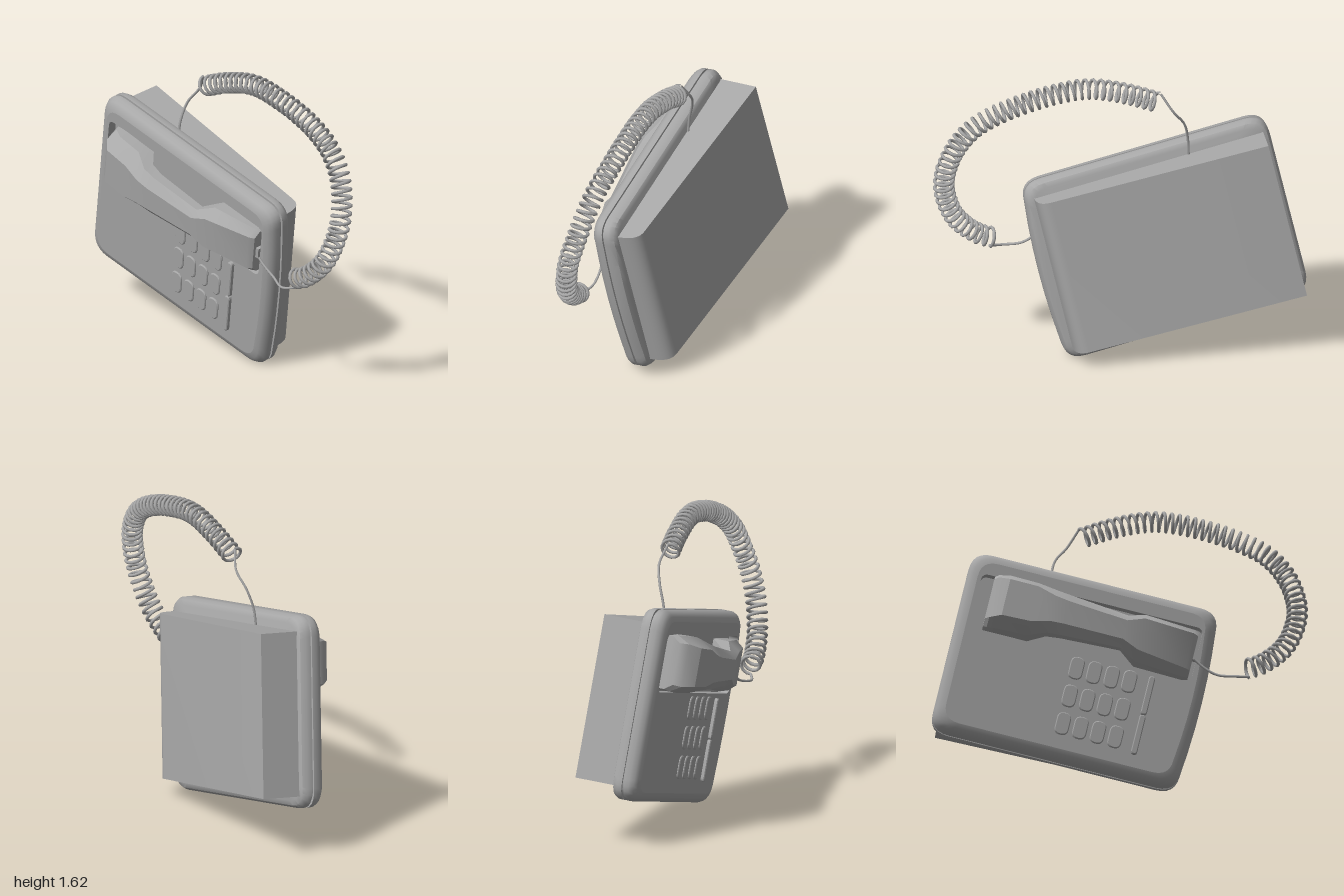
import * as THREE from 'three';
import { toCreasedNormals } from 'three/addons/utils/BufferGeometryUtils.js';

const grey = new THREE.MeshStandardMaterial({ color: 0xa8a8a8 });
grey.name = 'grey plastic';

function part(name, geometry, parent) {
  const mesh = new THREE.Mesh(geometry, grey);
  mesh.name = name;
  parent.add(mesh);
  return mesh;
}

// Skin between equal-length loops, with optional fan caps at either end.
function loft(loops, capStart, capEnd, crease = 0.6) {
  const pos = [];
  const n = loops[0].length;
  const tri = (...pts) => pts.forEach((p) => pos.push(p.x, p.y, p.z));
  for (let k = 0; k + 1 < loops.length; k++) {
    for (let i = 0; i < n; i++) {
      const j = (i + 1) % n, a = loops[k], b = loops[k + 1];
      tri(a[i], a[j], b[j]);
      tri(a[i], b[j], b[i]);
    }
  }
  const cap = (loop, flip) => {
    const c = new THREE.Vector3();
    loop.forEach((p) => c.addScaledVector(p, 1 / n));
    for (let i = 0; i < n; i++) {
      const p = loop[i], q = loop[(i + 1) % n];
      if (flip) tri(c, q, p); else tri(c, p, q);
    }
  };
  if (capStart) cap(loops[0], true);
  if (capEnd) cap(loops[loops.length - 1], false);
  const g = new THREE.BufferGeometry();
  g.setAttribute('position', new THREE.Float32BufferAttribute(pos, 3));
  return toCreasedNormals(g, crease);
}

// Rounded rectangle, counterclockwise, whose right edge can bow outward.
function roundRect(x0, x1, y0, y1, r, bow = 0) {
  const s = new THREE.Shape();
  s.moveTo(x0 + r, y0);
  s.lineTo(x1 - r, y0);
  s.quadraticCurveTo(x1, y0, x1, y0 + r);
  s.quadraticCurveTo(x1 + bow, (y0 + y1) / 2, x1, y1 - r);
  s.quadraticCurveTo(x1, y1, x1 - r, y1);
  s.lineTo(x0 + r, y1);
  s.quadraticCurveTo(x0, y1, x0, y1 - r);
  s.lineTo(x0, y0 + r);
  s.quadraticCurveTo(x0, y0, x0 + r, y0);
  return s;
}

function loopAt(shape, z) {
  const pts = shape.getPoints(6);
  if (pts[0].distanceTo(pts[pts.length - 1]) < 1e-6) pts.pop();
  return pts.map((p) => new THREE.Vector3(p.x, p.y, z));
}

function buildBase(phone) {
  const outline = (d) => roundRect(-0.68 + d, 0.67 - d, -0.515 + d, 0.515 - d, 0.11 - d * 0.3, 0.04);
  // Rim, seam groove and bevelled front edge: [inset, depth]
  const sections = [
    [0.04, -0.068], [0.014, -0.058], [0, -0.032], [0, -0.006], [0.012, -0.006],
    [0.012, 0.006], [0, 0.006], [0, 0.032], [0.012, 0.056], [0.03, 0.072], [0.055, 0.08],
  ];
  part('baseShell', loft(sections.map(([d, z]) => loopAt(outline(d), z)), true, false, 0.7), phone);

  // Front face with the handset cradle sunk into it
  const cradle = () => roundRect(-0.605, 0.605, 0.08, 0.39, 0.04);
  const face = outline(0.055);
  face.holes.push(cradle());
  const faceGeo = new THREE.ShapeGeometry(face, 6);
  faceGeo.translate(0, 0, 0.08);
  part('frontFace', faceGeo, phone);
  part('cradleRecess', loft([loopAt(cradle(), 0.08), loopAt(cradle(), 0.03)], false, true), phone);

  // Wedge-shaped housing behind, thinner and rounded on one side
  const wedge = new THREE.Shape();
  wedge.moveTo(-0.645, 0.05);
  wedge.lineTo(0.625, 0.05);
  wedge.lineTo(0.62, 0.11);
  wedge.quadraticCurveTo(0.61, 0.185, 0.55, 0.19);
  wedge.lineTo(-0.635, 0.28);
  wedge.closePath();
  const g = new THREE.ExtrudeGeometry(wedge, { depth: 0.88, bevelEnabled: false, curveSegments: 6 });
  g.rotateX(-Math.PI / 2);
  g.translate(0, -0.445, 0);
  part('backHousing', toCreasedNormals(g, 0.6), phone);
}

function buildControls(phone) {
  // Soft-edged pads standing slightly proud of the face
  const pad = (name, x, y, w, h, r, top) => {
    const s = (d) => roundRect(x - w / 2 + d, x + w / 2 - d, y - h / 2 + d, y + h / 2 - d, r - d);
    part(name, loft([loopAt(s(0), 0.075), loopAt(s(0), top - 0.004), loopAt(s(0.005), top)], false, true), phone);
  };
  for (let row = 0; row < 3; row++) {
    for (let col = 0; col < 4; col++) {
      pad('key', col * 0.096, -0.16 * row, 0.076, 0.126, 0.036, 0.088);
    }
  }
  pad('upperSideBar', 0.402, -0.055, 0.034, 0.22, 0.017, 0.1);
  pad('lowerSideBar', 0.402, -0.28, 0.034, 0.225, 0.017, 0.1);
}

function buildHandset(phone) {
  // Stations along the handset: [x, back, front, lower edge, upper edge, chamfer]
  const stations = [
    [-0.535, 0.032, 0.13, 0.1, 0.385, 0.03],
    [-0.515, 0.032, 0.175, 0.092, 0.392, 0.035],
    [-0.455, 0.032, 0.228, 0.088, 0.395, 0.05],
    [-0.3, 0.034, 0.238, 0.09, 0.39, 0.05],
    [-0.2, 0.13, 0.245, 0.115, 0.36, 0.05],
    [-0.12, 0.143, 0.242, 0.12, 0.35, 0.05],
    [0.2, 0.135, 0.215, 0.138, 0.325, 0.04],
    [0.29, 0.045, 0.2, 0.1, 0.37, 0.045],
    [0.56, 0.032, 0.13, 0.098, 0.37, 0.035],
    [0.585, 0.032, 0.11, 0.105, 0.362, 0.03],
  ];
  const loops = stations.map(([x, b, f, lo, hi, c]) => {
    const m = b + (f - b) * 0.55;
    return [[lo, b], [hi, b], [hi, m], [hi - c, f], [lo + c, f], [lo, m]]
      .map(([y, z]) => new THREE.Vector3(x, y, z));
  });
  part('handset', loft(loops, true, true, 0.45), phone);
  const socket = part('cordSocket', new THREE.BoxGeometry(0.04, 0.06, 0.04), phone);
  socket.position.set(0.585, 0.235, 0.075);
}

const path = (pts) => new THREE.CatmullRomCurve3(pts.map((p) => new THREE.Vector3(...p)));

// Helix wound around a centre line
class CoilCurve extends THREE.Curve {
  constructor(centre, turns, radius) {
    super();
    Object.assign(this, { centre, turns, radius });
  }
  getPoint(t, target = new THREE.Vector3()) {
    const tangent = this.centre.getTangentAt(t);
    const a = new THREE.Vector3().crossVectors(tangent, new THREE.Vector3(0, 0, 1)).normalize();
    const b = new THREE.Vector3().crossVectors(tangent, a);
    const w = t * this.turns * Math.PI * 2;
    return target.copy(this.centre.getPointAt(t))
      .addScaledVector(a, Math.cos(w) * this.radius)
      .addScaledVector(b, Math.sin(w) * this.radius);
  }
}

function buildCord(parent) {
  const centre = path([
    [0.655, 0.655, 0.105], [0.74, 0.69, 0.1], [0.866, 0.81, 0.075], [0.936, 1.027, 0.03],
    [0.893, 1.24, -0.02], [0.786, 1.385, -0.045], [0.6, 1.485, -0.06], [0.33, 1.556, -0.06],
    [0.17, 1.567, -0.06], [-0.016, 1.524, -0.055], [-0.2, 1.45, -0.045],
  ]);
  const coil = new CoilCurve(centre, 48, 0.05);
  part('coiledCord', new THREE.TubeGeometry(coil, 48 * 14, 0.009, 6), parent);
  const lead = (name, pts) => part(name, new THREE.TubeGeometry(path(pts), 24, 0.007, 6), parent);
  lead('handsetLead', [
    [0.36, 0.72, 0.11], [0.42, 0.66, 0.105], [0.5, 0.613, 0.105], [0.6, 0.594, 0.135],
    coil.getPoint(0).toArray(),
  ]);
  lead('baseLead', [
    coil.getPoint(1).toArray(), [-0.28, 1.4, -0.075], [-0.345, 1.31, -0.05],
    [-0.37, 1.2, -0.02], [-0.375, 1.11, -0.01],
  ]);
}

export function createModel() {
  const model = new THREE.Group();
  model.name = 'deskTelephone';

  // The telephone body hangs tilted sideways and slightly forward
  const phone = new THREE.Group();
  phone.name = 'telephoneBody';
  const u = new THREE.Vector3(0.976, -0.216, -0.015).normalize();
  const n = u.clone().cross(new THREE.Vector3(0.216, 0.976, 0.11)).normalize();
  const v = n.clone().cross(u);
  phone.quaternion.setFromRotationMatrix(new THREE.Matrix4().makeBasis(u, v, n));
  phone.position.set(-0.245, 0.63, 0.01);
  buildBase(phone);
  buildControls(phone);
  buildHandset(phone);
  model.add(phone);

  buildCord(model);
  return model;
}
